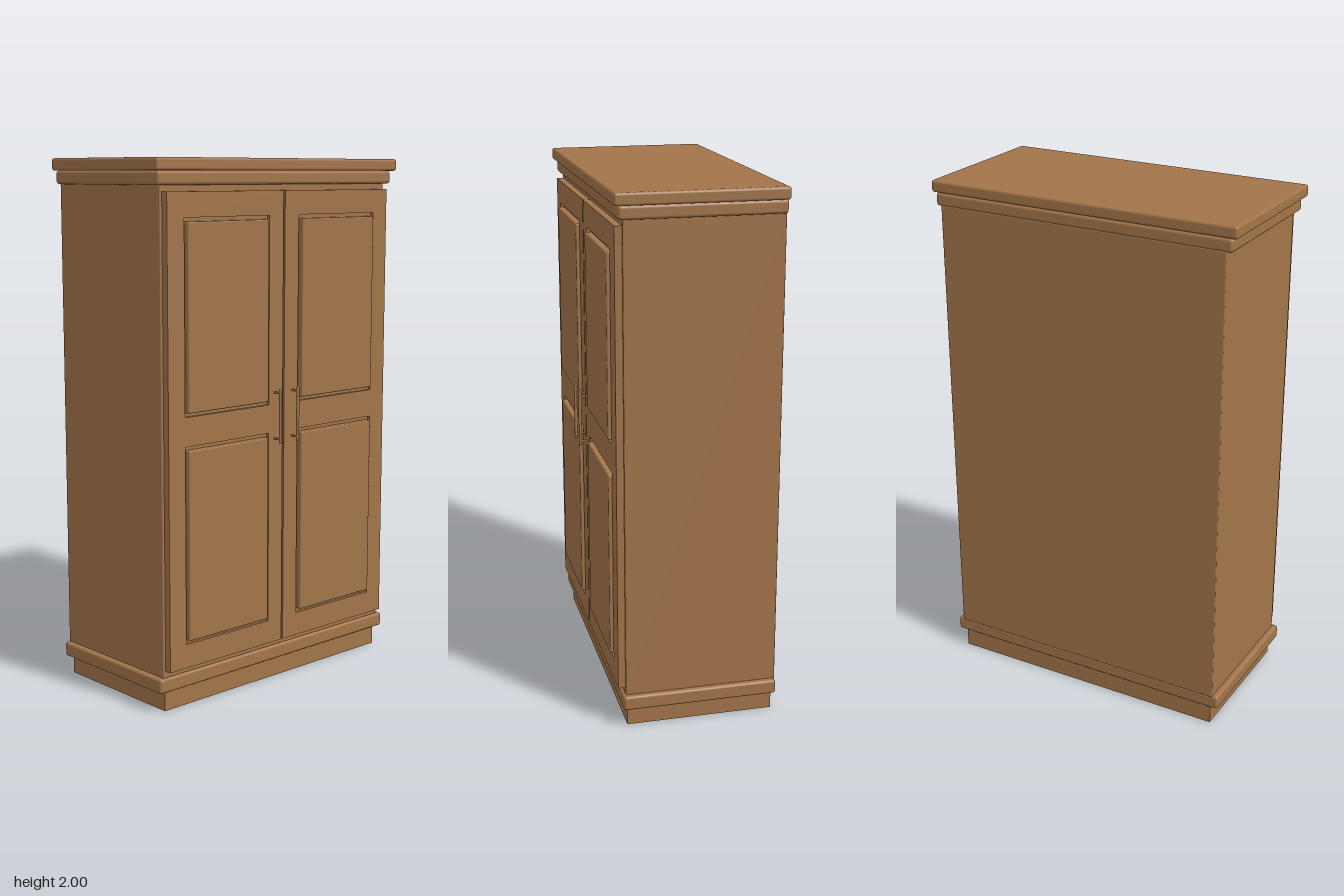
import * as THREE from 'three';
import { RoundedBoxGeometry } from 'three/addons/geometries/RoundedBoxGeometry.js';

export function createModel() {
  const group = new THREE.Group();
  group.name = 'wardrobe';
  const wood = new THREE.MeshStandardMaterial({ color: 0xa2744a });
  wood.name = 'brown wood';

  const add = (name, geometry, parent = group) => {
    const mesh = new THREE.Mesh(geometry, wood);
    mesh.name = name;
    parent.add(mesh);
    return mesh;
  };
  // Box given by its limits, with optionally rounded edges
  const box = (name, x0, x1, y0, y1, z0, z1, r = 0, parent = group) => {
    const size = [x1 - x0, y1 - y0, z1 - z0];
    const geometry = r ? new RoundedBoxGeometry(...size, 3, r) : new THREE.BoxGeometry(...size);
    const mesh = add(name, geometry, parent);
    mesh.position.set((x0 + x1) / 2, (y0 + y1) / 2, (z0 + z1) / 2);
    return mesh;
  };
  const corners = (x0, x1, y0, y1) => [
    new THREE.Vector2(x0, y0), new THREE.Vector2(x1, y0),
    new THREE.Vector2(x1, y1), new THREE.Vector2(x0, y1),
  ];

  // Body and mouldings
  box('plinth', -0.567, 0.567, 0, 0.08, -0.31, 0.25);
  box('baseMoulding', -0.6, 0.6, 0.075, 0.13, -0.32, 0.268, 0.01);
  box('carcass', -0.578, 0.578, 0.125, 1.91, -0.32, 0.257, 0.004);
  box('lowerCornice', -0.6, 0.6, 1.905, 1.955, -0.32, 0.277, 0.012);
  box('topCornice', -0.617, 0.617, 1.955, 2, -0.322, 0.294, 0.01);

  // Doors: frame with two openings, each filled by a raised panel
  const openings = [[0.245, 0.98], [1.088, 1.793]];
  for (const side of [-1, 1]) {
    const door = new THREE.Group();
    door.name = side > 0 ? 'leftDoor' : 'rightDoor';
    group.add(door);
    const span = (a, b) => (side > 0 ? [a, b] : [-b, -a]);

    const shape = new THREE.Shape(corners(...span(0.004, 0.568), 0.155, 1.883));
    for (const [y0, y1] of openings) {
      shape.holes.push(new THREE.Path(corners(...span(0.076, 0.49), y0, y1).reverse()));
    }
    add('doorFrame', new THREE.ExtrudeGeometry(shape, { depth: 0.029, bevelEnabled: false }), door)
      .position.z = 0.255;

    for (const [y0, y1] of openings) {
      box('groove', ...span(0.07, 0.496), y0 - 0.006, y1 + 0.006, 0.255, 0.272, 0, door);
      box('raisedPanel', ...span(0.088, 0.482), y0 + 0.014, y1 - 0.014, 0.256, 0.296, 0.005, door);
    }

    // Bar handle on two posts
    const handle = new THREE.Group();
    handle.name = 'handle';
    handle.position.x = side * 0.046;
    door.add(handle);
    add('handleBar', new THREE.CapsuleGeometry(0.006, 0.2, 4, 12), handle).position.set(0, 1.045, 0.316);
    for (const y of [0.957, 1.133]) {
      const post = add('handlePost', new THREE.CylinderGeometry(0.004, 0.004, 0.036, 12), handle);
      post.rotation.x = Math.PI / 2;
      post.position.set(0, y, 0.298);
    }
  }
  return group;
}
